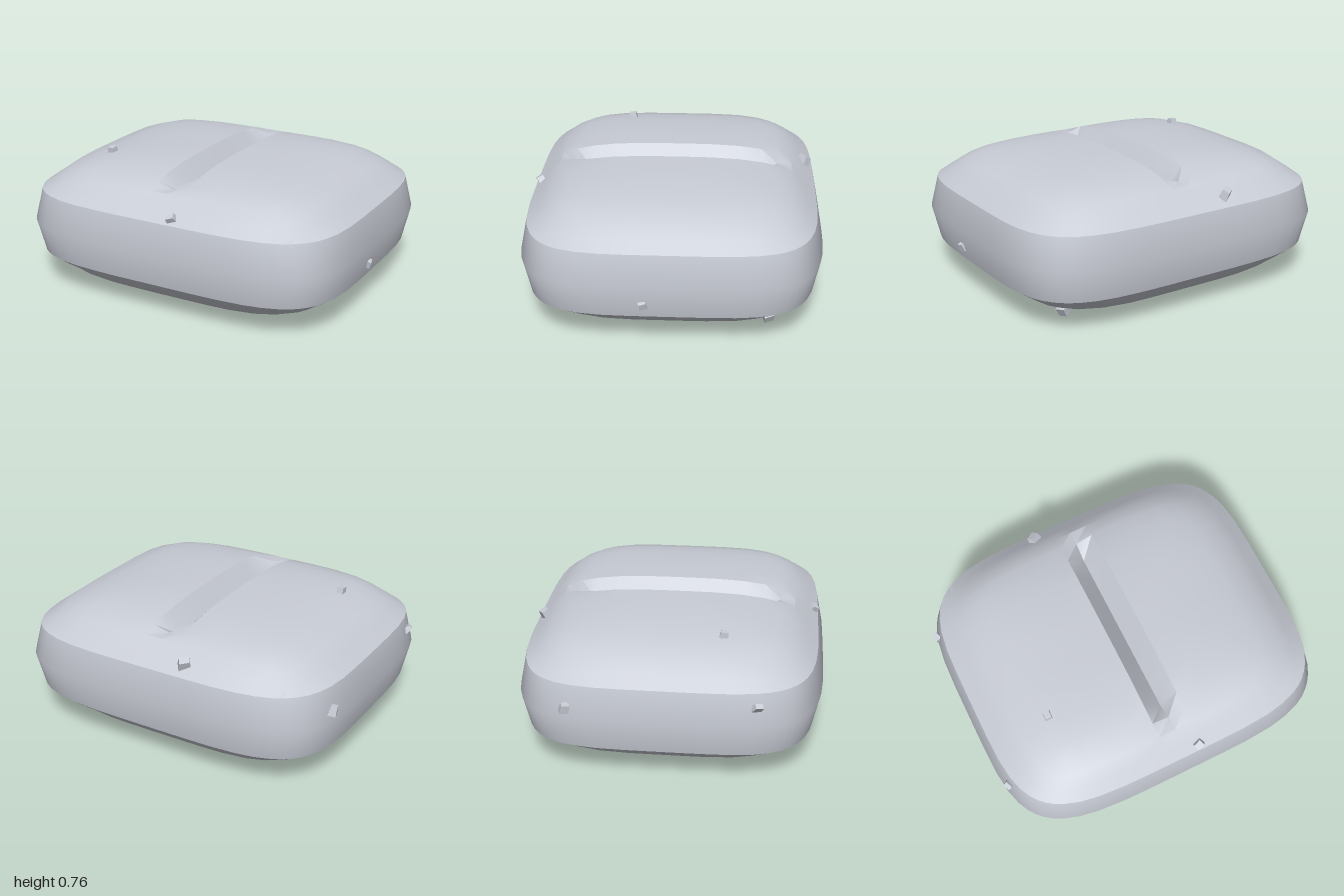
import * as THREE from 'three';
import { toCreasedNormals } from 'three/addons/utils/BufferGeometryUtils.js';

const MID = 0.385;              // height of the widest ring
const RX = 0.96, RZ = 0.82;     // half sizes of the upper and lower rim
const N = 4.5;                  // squareness of the plan outline

const mirrored = (list) => [...list.map((v) => -v), 0, ...list.slice().reverse()];
const US = mirrored([1, 0.92, 0.83, 0.7, 0.57, 0.4, 0.25, 0.104]);
const VS = mirrored([1, 0.92, 0.83, 0.73, 0.61, 0.45, 0.25, 0.1]);

// Domed height for a normalised distance from the centre
function dome(r) {
  const curve = (t) => 0.57 + 0.195 * Math.pow(Math.max(0, 1 - Math.pow(t, 3.2)), 0.6);
  return r < 0.83 ? curve(r) : THREE.MathUtils.lerp(curve(0.83), 0.57, Math.min(1, (r - 0.83) / 0.17));
}

// Surface point of the top (side = 1) or bottom (side = -1)
function capPoint(u, v, side) {
  const r = Math.max(Math.abs(u), Math.abs(v));
  const norm = (a, b) => Math.pow(Math.pow(Math.abs(a), N) + Math.pow(Math.abs(b), N), 1 / N);
  const squeeze = r > 0 ? 1 + (r / norm(u, v) - 1) * r ** 3 : 1;
  const x = RX * u * squeeze, z = RZ * v * squeeze;
  let y = dome(norm(x / RX, z / RZ));
  // V-shaped groove, shallower at both ends
  if (Math.abs(u) < 0.1) {
    const rise = THREE.MathUtils.clamp((Math.abs(z) - 0.505) / 0.095, 0, 1);
    y = Math.min(y, THREE.MathUtils.lerp(0.64, 0.692, rise));
  }
  return [x, MID + side * (y - MID), z];
}

function bodyGeometry() {
  const pos = [];
  const quad = (a, b, c, d) => pos.push(...a, ...b, ...d, ...b, ...c, ...d);
  const m = US.length - 1, n = VS.length - 1;
  // Top and bottom caps
  for (let i = 0; i < m; i++) {
    for (let j = 0; j < n; j++) {
      const corners = (s) => [[i, j], [i, j + 1], [i + 1, j + 1], [i + 1, j]]
        .map(([a, b]) => capPoint(US[a], VS[b], s));
      quad(...corners(1));
      quad(...corners(-1).reverse());
    }
  }
  // Bulging side band around the rim
  const rim = [];
  for (let i = 0; i < m; i++) rim.push([US[i], 1]);
  for (let j = n; j > 0; j--) rim.push([1, VS[j]]);
  for (let i = m; i > 0; i--) rim.push([US[i], -1]);
  for (let j = 0; j < n; j++) rim.push([-1, VS[j]]);
  const upper = rim.map(([u, v]) => capPoint(u, v, 1));
  const lower = rim.map(([u, v]) => capPoint(u, v, -1));
  const middle = upper.map(([x, , z]) => [x / 0.96, MID, z * 0.857 / RZ]);
  for (let k = 0; k < rim.length; k++) {
    const q = (k + 1) % rim.length;
    quad(lower[k], lower[q], middle[q], middle[k]);
    quad(middle[k], middle[q], upper[q], upper[k]);
  }
  const geo = new THREE.BufferGeometry();
  geo.setAttribute('position', new THREE.Float32BufferAttribute(pos, 3));
  return toCreasedNormals(geo, 0.58);
}

// Small chipped block, narrower on top
function pebbleGeometry(w, h, d) {
  const geo = new THREE.BoxGeometry(w, h, d);
  const p = geo.attributes.position;
  for (let i = 0; i < p.count; i++) {
    if (p.getY(i) > 0 && p.getX(i) > 0) p.setX(i, p.getX(i) * 0.6);
    if (p.getY(i) > 0 && p.getZ(i) < 0) p.setZ(i, p.getZ(i) * 0.7);
  }
  return toCreasedNormals(geo, 0.3);
}

export function createModel() {
  const group = new THREE.Group();
  const stone = new THREE.MeshStandardMaterial({ color: 0xc8ccd5 });
  stone.name = 'stone grey';

  const body = new THREE.Mesh(bodyGeometry(), stone);
  body.name = 'body';
  group.add(body);

  // Pebbles: position, size, rotation
  const pebbles = [
    [[-0.605, 0.738, 0.3], [0.045, 0.05, 0.05], [0.1, 0, 0]],
    [[0.1, 0.605, 0.79], [0.055, 0.04, 0.045], [0.5, 0.4, 0.1]],
    [[-0.957, 0.5, 0.5], [0.035, 0.045, 0.05], [0.2, 0.4, 0.6]],
    [[-0.97, 0.45, -0.52], [0.045, 0.05, 0.05], [0.1, 0.3, 0.1]],
    [[-0.2, 0.628, -0.77], [0.07, 0.06, 0.05], [-0.6, 0.6, 0.2]],
    [[0.977, 0.28, 0.13], [0.04, 0.04, 0.045], [0.2, 0.2, -0.5]],
    [[0.715, 0.078, -0.55], [0.05, 0.05, 0.06], [0.2, 0.3, 2.6]],
    [[0.05, 0.07, 0.18], [0.05, 0.04, 0.04], [0.1, 0.3, 3]],
  ];
  pebbles.forEach(([at, size, turn], i) => {
    const pebble = new THREE.Mesh(pebbleGeometry(...size), stone);
    pebble.name = `pebble${i + 1}`;
    pebble.position.set(...at);
    pebble.rotation.set(...turn);
    group.add(pebble);
  });
  return group;
}
